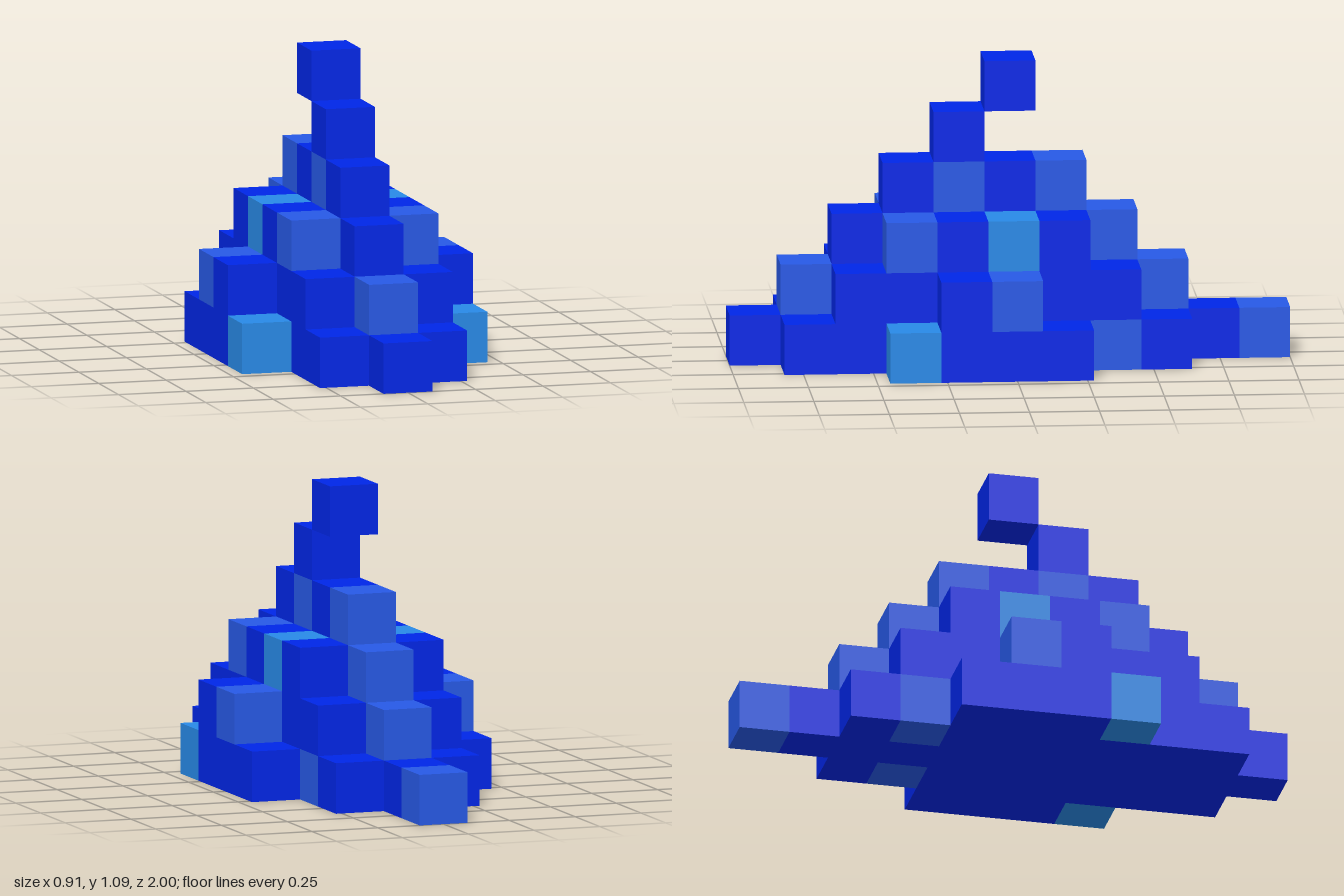
import * as THREE from 'three';

const UNIT = 2 / 11;

// Each layer lists its rows from front to back, starting at grid row `front`.
// A row gives the colours from the centre column outward; it is mirrored in x.
const LAYERS = [
  { name: 'baseLayer', front: 5, rows: 'd dd dd ddt ddd ddd ddd dm dd d m' },
  { name: 'secondLayer', front: 4, rows: 'm dd dd ddd ddm dd dd m' },
  { name: 'thirdLayer', front: 3, rows: 'd dm dd dt dd m' },
  { name: 'ridgeLayer', front: 2, rows: 'd m d m' },
  { name: 'upperStep', front: 1, rows: 'd' },
  { name: 'floatingTip', front: 0, rows: 'd' },
];

function makeMaterial(name, color) {
  const material = new THREE.MeshStandardMaterial({ color });
  material.name = name;
  return material;
}

export function createModel() {
  const materials = {
    d: makeMaterial('deep blue', 0x0026e8),
    m: makeMaterial('mid blue', 0x2759e6),
    t: makeMaterial('light blue', 0x288ae8),
  };
  const names = { d: 'deepBlueBlock', m: 'midBlueBlock', t: 'lightBlueBlock' };
  const cube = new THREE.BoxGeometry(UNIT, UNIT, UNIT);

  const model = new THREE.Group();
  model.name = 'steppedBlockModel';

  LAYERS.forEach(({ name, front, rows }, level) => {
    const layer = new THREE.Group();
    layer.name = name;
    layer.position.y = (level + 0.5) * UNIT;

    rows.split(' ').forEach((row, i) => {
      [...row].forEach((key, column) => {
        // Centre blocks are single, outer blocks come in mirrored pairs
        for (const side of column === 0 ? [0] : [-1, 1]) {
          const block = new THREE.Mesh(cube, materials[key]);
          block.name = names[key];
          block.position.set(side * column * UNIT, 0, (front - i) * UNIT);
          layer.add(block);
        }
      });
    });
    model.add(layer);
  });

  return model;
}
